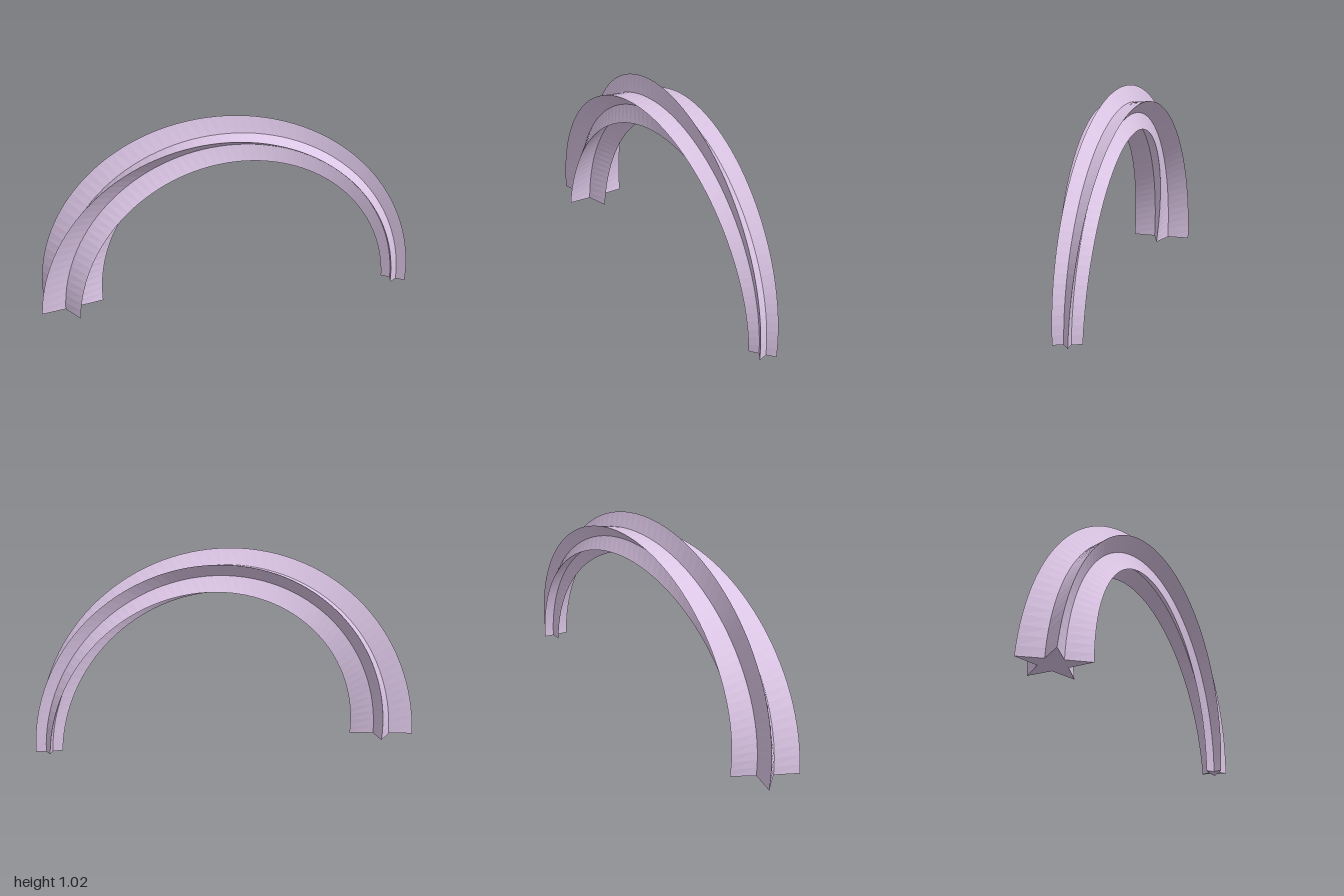
import * as THREE from 'three';

const STEPS = 64, TIPS = 5, RING = TIPS * 2;
const ARC = { x: 0.038, y: 0.005, radius: 0.895 };

// One star cross-section at t (0 = thick foot, 1 = thin foot): tapered and twisted
function starRing(t) {
  const theta = Math.PI * (1 - t);
  // the end sections follow the direction of their neighbouring segment
  const lean = t === 0 ? -1 : t === 1 ? 1 : 0;
  const tilt = theta + lean * Math.PI / (2 * STEPS);
  const out = new THREE.Vector3(Math.cos(tilt), Math.sin(tilt), 0);
  const centre = new THREE.Vector3(
    ARC.x + ARC.radius * Math.cos(theta), ARC.y + ARC.radius * Math.sin(theta), 0);
  const size = THREE.MathUtils.lerp(0.177, 0.071, t);
  const twist = THREE.MathUtils.degToRad(36 + 87.5 * t);
  const points = [];
  for (let j = 0; j < RING; j++) {
    const a = twist + j * Math.PI / TIPS;
    const r = j % 2 ? size * 0.4 : size;
    const p = centre.clone().addScaledVector(out, r * Math.cos(a));
    p.z += r * Math.sin(a);
    points.push(p);
  }
  return { centre, points };
}

function sweptStar() {
  const pos = [];
  const tri = (...corners) => corners.forEach(c => pos.push(c.x, c.y, c.z));
  const rings = Array.from({ length: STEPS + 1 }, (_, i) => starRing(i / STEPS));
  const first = rings[0], last = rings[STEPS];
  for (let j = 0; j < RING; j++) {
    const k = (j + 1) % RING;
    // side walls
    for (let i = 0; i < STEPS; i++) {
      const a = rings[i].points, b = rings[i + 1].points;
      tri(a[j], a[k], b[k]);
      tri(a[j], b[k], b[j]);
    }
    // end caps
    tri(first.centre, first.points[k], first.points[j]);
    tri(last.centre, last.points[j], last.points[k]);
  }
  const geometry = new THREE.BufferGeometry();
  geometry.setAttribute('position', new THREE.Float32BufferAttribute(pos, 3));
  geometry.computeVertexNormals();
  return geometry;
}

export function createModel() {
  const group = new THREE.Group();
  group.name = 'twistedStarArch';
  const arch = new THREE.Mesh(
    sweptStar(), new THREE.MeshStandardMaterial({ color: 0xdcc6e6, flatShading: true }));
  arch.name = 'arch';
  group.add(arch);
  return group;
}
